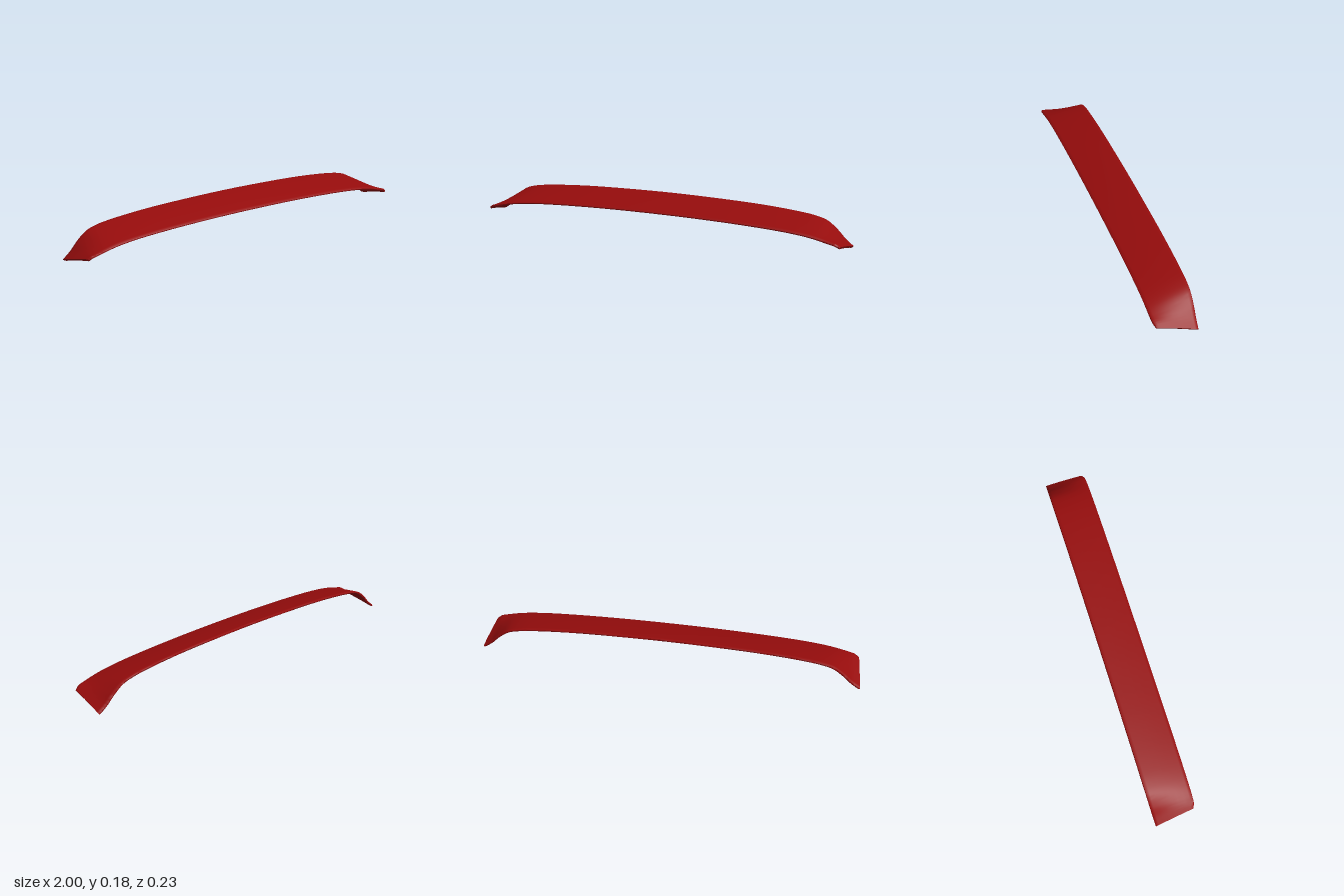
import * as THREE from 'three';
import { toCreasedNormals } from 'three/addons/utils/BufferGeometryUtils.js';

const V = (x, y, z) => new THREE.Vector3(x, y, z);

// Mirrors one half of an edge (centre first) into a smooth full-width curve
function mirroredEdge(half) {
  const right = half.map(p => V(...p));
  const left = half.slice(1).reverse().map(([x, y, z]) => V(-x, y, z));
  return new THREE.CatmullRomCurve3([...left, ...right]);
}

// Front and rear edges of the top skin, with matching stations
const frontEdge = mirroredEdge([
  [0, 0.132, 0.113], [0.25, 0.13, 0.113], [0.5, 0.123, 0.113], [0.7, 0.112, 0.113],
  [0.81, 0.1, 0.113], [0.87, 0.089, 0.113], [0.92, 0.078, 0.112], [0.955, 0.07, 0.109], [0.978, 0.056, 0.1],
]);
const rearEdge = mirroredEdge([
  [0, 0.183, -0.113], [0.25, 0.18, -0.113], [0.5, 0.172, -0.113], [0.7, 0.157, -0.113],
  [0.8, 0.143, -0.113], [0.86, 0.124, -0.112], [0.915, 0.082, -0.11], [0.958, 0.038, -0.107], [1.0, 0.006, -0.104],
]);

// Point on the top skin: u runs across the width, v from front to rear
function skin(u, v) {
  const p = frontEdge.getPoint(u).lerp(rearEdge.getPoint(u), v);
  p.y += 0.003 * Math.sin(Math.PI * v);
  return p;
}

function skinNormal(u, v) {
  const e = 0.003;
  const du = skin(Math.min(1, u + e), v).sub(skin(Math.max(0, u - e), v));
  const dv = skin(u, Math.min(1, v + e)).sub(skin(u, Math.max(0, v - e)));
  return du.cross(dv).normalize();
}

// Closed shell swept through thin cross-sections with rounded edges
function bladeGeometry(stations, thickness) {
  const spans = [0.02, 0.08, 0.2, 0.35, 0.5, 0.65, 0.8, 0.92, 0.985];
  const loop = [
    [0, 0.3], ...spans.map(v => [v, 0]), [1, 0.25],
    [1, 0.75], ...spans.slice().reverse().map(v => [v, 1]), [0, 0.7],
  ];
  const m = loop.length, pos = [], idx = [];
  for (let i = 0; i <= stations; i++) {
    const u = i / stations;
    for (const [v, depth] of loop) {
      const p = skin(u, v).addScaledVector(skinNormal(u, v), -depth * thickness);
      pos.push(p.x, Math.max(0, p.y), p.z);
    }
  }
  for (let i = 0; i < stations; i++) {
    for (let j = 0; j < m; j++) {
      const k = (j + 1) % m;
      const a = i * m + j, b = a + m, c = i * m + k, d = c + m;
      idx.push(a, b, c, b, d, c);
    }
  }
  // End caps
  const o = stations * m;
  for (let j = 0; j < m / 2 - 1; j++) {
    const a = j, b = j + 1, c = m - 2 - j, d = m - 1 - j;
    idx.push(a, b, c, a, c, d);
    idx.push(o + a, o + c, o + b, o + a, o + d, o + c);
  }
  const g = new THREE.BufferGeometry();
  g.setAttribute('position', new THREE.Float32BufferAttribute(pos, 3));
  g.setIndex(idx);
  return toCreasedNormals(g, Math.PI / 3.5);
}

export function createModel() {
  const group = new THREE.Group();
  group.name = 'spoiler';
  const paint = new THREE.MeshStandardMaterial({ color: 0x960c0c });
  const blade = new THREE.Mesh(bladeGeometry(96, 0.012), paint);
  blade.name = 'spoilerBlade';
  group.add(blade);
  return group;
}
